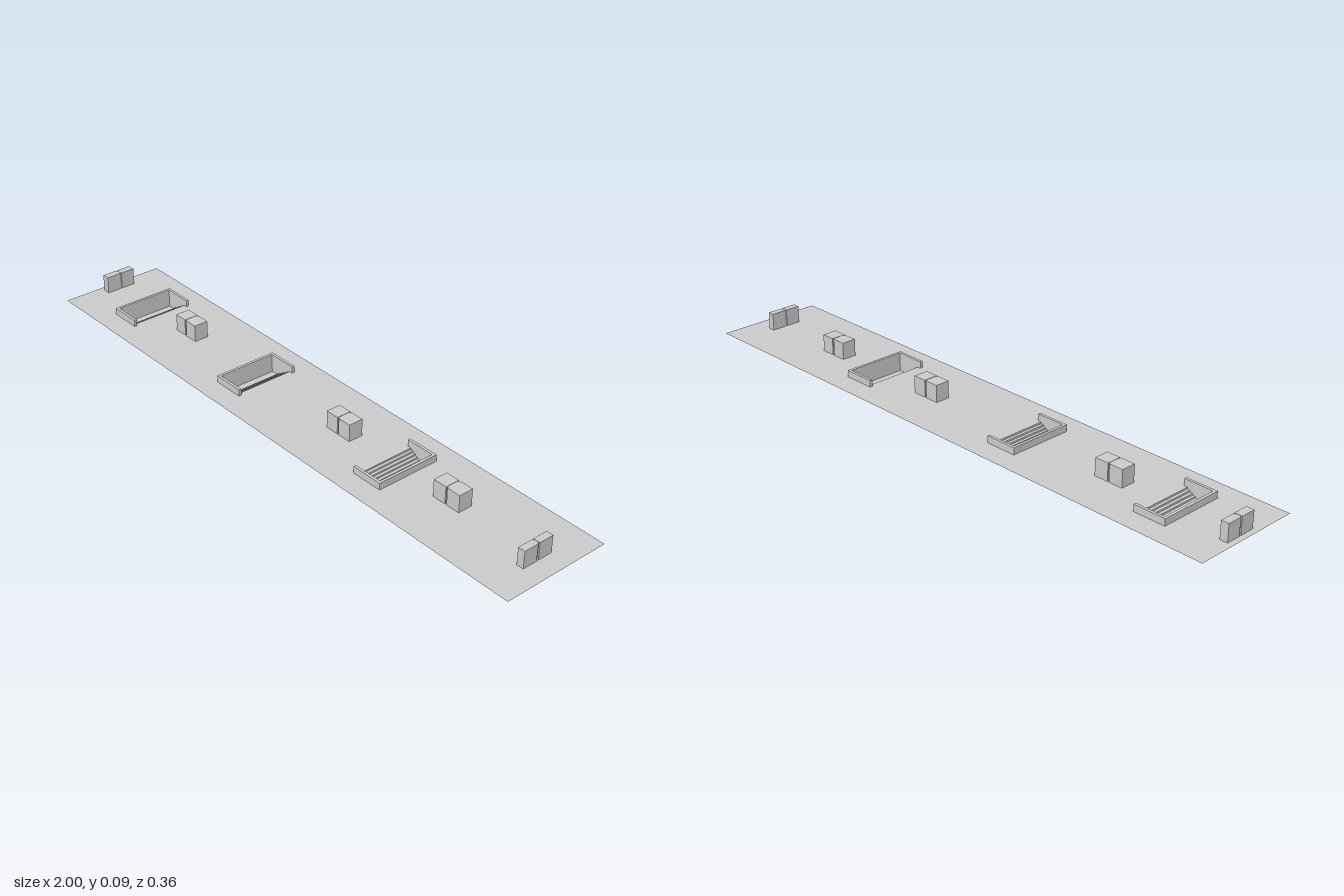
import * as THREE from 'three';

const FLOOR = 0.039, PIT_W = 0.098, PIT_L = 0.094;
const solid = new THREE.MeshStandardMaterial({ color: 0xcccccc, flatShading: true });
const thin = new THREE.MeshStandardMaterial({ color: 0xcccccc, flatShading: true, side: THREE.DoubleSide });

function add(parent, name, geometry, material = solid) {
  const mesh = new THREE.Mesh(geometry, material);
  mesh.name = name;
  parent.add(mesh);
  return mesh;
}

function box(parent, name, x0, x1, y0, y1, z0, z1) {
  const mesh = add(parent, name, new THREE.BoxGeometry(x1 - x0, y1 - y0, z1 - z0));
  mesh.position.set((x0 + x1) / 2, (y0 + y1) / 2, (z0 + z1) / 2);
}

// Stairwell running along +x from its end wall, with steps climbing out
function stairwell(x, flip) {
  const g = new THREE.Group();
  g.name = 'stairwell';

  // Side profile: end wall, landing, then steps up to the floor
  const steps = 7, landing = 0.028;
  const profile = [[0, FLOOR], [0, 0], [landing, 0]];
  for (let i = 1; i <= steps; i++) {
    const px = landing + (PIT_L - landing) * (i / steps);
    const prev = profile[profile.length - 1][0];
    profile.push([prev, FLOOR * i / steps]);
    if (i < steps) profile.push([px, FLOOR * i / steps]);
  }
  profile.push([PIT_L, FLOOR]);

  // Folded strip for wall, landing and steps
  const strip = new THREE.PlaneGeometry(1, 1, profile.length - 1, 1);
  const pos = strip.attributes.position;
  for (let i = 0; i < pos.count; i++) {
    const [px, py] = profile[i % profile.length];
    pos.setXYZ(i, px, py, i < profile.length ? -PIT_W : PIT_W);
  }
  strip.computeVertexNormals();
  add(g, 'stairs', strip, thin);

  // Side walls below the floor
  const side = new THREE.Shape([[0, FLOOR], [0, 0], [landing, 0], [PIT_L, FLOOR]]
    .map(p => new THREE.Vector2(...p)));
  for (const s of [-1, 1]) {
    add(g, 'stairSide', new THREE.ShapeGeometry(side), thin).position.z = s * PIT_W;
    const z = [s * PIT_W, s * 0.107].sort((a, b) => a - b);
    box(g, 'sideParapet', -0.009, 0.097, FLOOR, 0.061, z[0], z[1]);
  }
  box(g, 'endParapet', -0.009, 0, FLOOR, 0.061, -PIT_W, PIT_W);

  g.position.x = x;
  if (flip) g.rotation.y = Math.PI;
  return g;
}

// Pair of cabinets joined by a recessed core, long along x or z
function cabinet(name, x0, x1, z0, z1) {
  const g = new THREE.Group();
  g.name = name;
  const top = 0.095, gap = 0.003, inset = 0.004;
  const cx = (x0 + x1) / 2, cz = (z0 + z1) / 2;
  if (x1 - x0 > z1 - z0) {
    box(g, 'cabinetHalf', x0, cx - gap, FLOOR, top, z0, z1);
    box(g, 'cabinetHalf', cx + gap, x1, FLOOR, top, z0, z1);
    box(g, 'cabinetCore', cx - gap, cx + gap, FLOOR, top - 0.001, z0 + inset, z1 - inset);
  } else {
    box(g, 'cabinetHalf', x0, x1, FLOOR, top, z0, cz - gap);
    box(g, 'cabinetHalf', x0, x1, FLOOR, top, cz + gap, z1);
    box(g, 'cabinetCore', x0 + inset, x1 - inset, FLOOR, top - 0.001, cz - gap, cz + gap);
  }
  return g;
}

export function createModel() {
  const model = new THREE.Group();
  model.name = 'stationPlatform';

  const wells = [[-0.811, false], [-0.266, false], [0.443, true]];

  // Floor sheet with an opening over each stairwell
  const rect = (C, x0, x1, z) => new C([[x0, -z], [x1, -z], [x1, z], [x0, z]]
    .map(p => new THREE.Vector2(...p)));
  const floor = rect(THREE.Shape, -1, 1, 0.18);
  for (const [x, flip] of wells) {
    const end = flip ? x - PIT_L : x + PIT_L;
    floor.holes.push(rect(THREE.Path, Math.min(x, end), Math.max(x, end), PIT_W));
    model.add(stairwell(x, flip));
  }
  const sheet = new THREE.ShapeGeometry(floor);
  sheet.rotateX(-Math.PI / 2);
  add(model, 'platformFloor', sheet, thin).position.y = FLOOR;

  // Cabinets along the middle
  for (const x of [-0.61, 0.125, 0.565]) {
    model.add(cabinet('middleCabinet', x, x + 0.098, -0.034, 0.015));
  }
  // Cabinets at the two ends
  model.add(cabinet('endCabinet', -0.982, -0.957, -0.058, 0.045));
  model.add(cabinet('endCabinet', 0.913, 0.936, -0.048, 0.057));

  return model;
}
